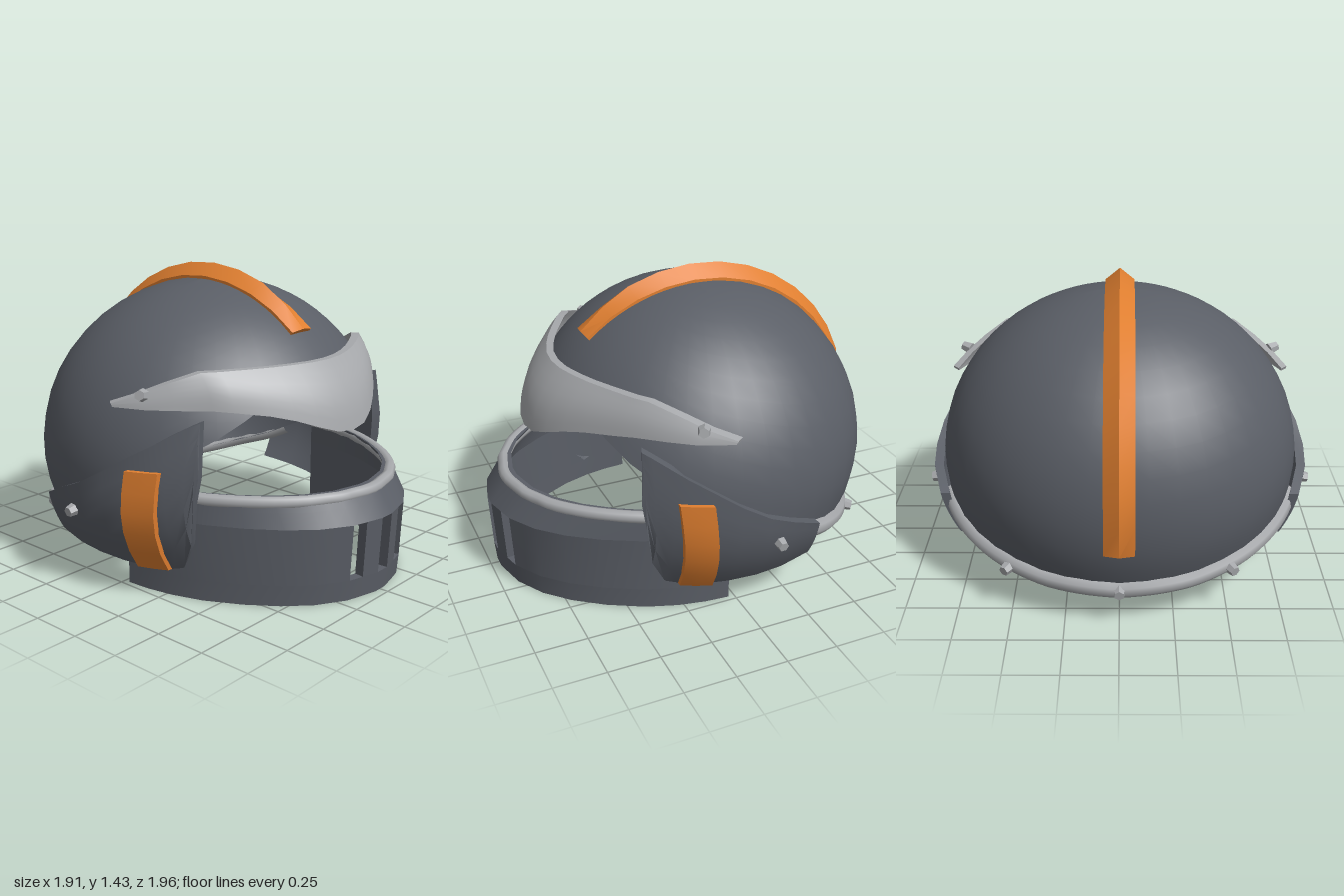
import * as THREE from 'three';
import { toCreasedNormals } from 'three/addons/utils/BufferGeometryUtils.js';

const mat = color => new THREE.MeshStandardMaterial({ color });
const DARK = mat(0x5a5e66), LIGHT = mat(0xa6a8ab), ORANGE = mat(0xe07f30);
const range = (a, b, n) => Array.from({ length: n + 1 }, (_, i) => a + (b - a) * i / n);

// Piecewise linear lookup in two matching lists
function lookup(xs, ys, x) {
  let i = 1;
  while (i < xs.length - 1 && x > xs[i]) i++;
  const t = THREE.MathUtils.clamp((x - xs[i - 1]) / (xs[i] - xs[i - 1]), 0, 1);
  return ys[i - 1] + (ys[i] - ys[i - 1]) * t;
}

// Solid plate: outer and inner skins over a u,v grid, joined along the edges
function slab(name, material, us, vs, outer, inner, closed = false, crease = 0.6) {
  const back = [...vs].reverse();
  const rings = us.map(u => [...vs.map(v => outer(u, v)), ...back.map(v => inner(u, v))]);
  const n = rings[0].length, pts = rings.flat(), idx = [];
  const quad = (a, b, c, d) => idx.push(a, b, c, a, c, d);
  const last = us.length - 1;
  for (let i = 0; i < (closed ? us.length : last); i++) {
    const k = (i + 1) % us.length;
    for (let j = 0; j < n; j++) {
      const m = (j + 1) % n;
      quad(i * n + j, k * n + j, k * n + m, i * n + m);
    }
  }
  if (!closed) for (let j = 0; j < n / 2 - 1; j++) {
    const o = last * n;
    quad(j, j + 1, n - 2 - j, n - 1 - j);
    quad(o + n - 1 - j, o + n - 2 - j, o + j + 1, o + j);
  }
  // Turn the faces outward when the enclosed volume is negative
  const V = pts.map(p => new THREE.Vector3(...p));
  let vol = 0;
  for (let i = 0; i < idx.length; i += 3)
    vol += V[idx[i]].dot(V[idx[i + 1]].clone().cross(V[idx[i + 2]]));
  if (vol < 0) idx.reverse();
  const g = new THREE.BufferGeometry().setFromPoints(V);
  g.setIndex(idx);
  const mesh = new THREE.Mesh(toCreasedNormals(g, crease), material);
  mesh.name = name;
  return mesh;
}

function tube(name, points, radius) {
  const curve = new THREE.CatmullRomCurve3(points.map(p => new THREE.Vector3(...p)));
  const mesh = new THREE.Mesh(new THREE.TubeGeometry(curve, 48, radius, 8), LIGHT);
  mesh.name = name;
  return mesh;
}

function bolt(name, pos, dir) {
  const g = new THREE.CylinderGeometry(0.024, 0.032, 0.05, 6);
  const mesh = new THREE.Mesh(toCreasedNormals(g, 0.5), LIGHT);
  mesh.position.set(...pos);
  mesh.quaternion.setFromUnitVectors(new THREE.Vector3(0, 1, 0), new THREE.Vector3(...dir).normalize());
  mesh.name = name;
  return mesh;
}

// Dome ellipsoid, and the height of its rim by angle from the front
const C = [0, 0.55, -0.1], R = [0.87, 0.81, 0.84];
const rimY = deg => lookup([0, 14, 28, 48, 70, 90, 110, 130, 155, 180],
  [0.98, 0.96, 0.9, 0.74, 0.58, 0.45, 0.32, 0.25, 0.19, 0.17], deg > 180 ? 360 - deg : deg);
function domePoint(deg, v, k = 1) {
  const low = Math.asin((rimY(deg) - C[1]) / R[1]);
  const e = Math.PI / 2 + (low - Math.PI / 2) * v, a = deg * Math.PI / 180;
  const r = Math.cos(e) * k;
  // the inner skin shares the height of the outer rim
  const y = C[1] + R[1] * Math.sin(e) * (k + (1 - k) * v ** 4);
  return [R[0] * r * Math.sin(a), y, C[2] + R[2] * r * Math.cos(a)];
}

// Chin guard wall: depth from half width, leaning back above the slots
const CX = [0, 0.2, 0.34, 0.45, 0.55, 0.64, 0.69, 0.715, 0.725];
const CZ = [0.985, 0.935, 0.85, 0.74, 0.6, 0.43, 0.28, 0.15, 0.03];
const chinOut = (x, y) => {
  const z = lookup(CX, CZ, Math.abs(x));
  return [x, y, 0.03 + (z - 0.03) * lookup([0, 0.1, 0.37, 0.51], [0.98, 0.99, 1.005, 0.9], y)];
};
const chinIn = (x, y) => {
  const [, , z] = chinOut(x, y);
  return [x * 0.94, y, z - 0.05 * z];
};

// Bulging side surface used by the cheek plates and their stripes
const cheekX = (y, z) => 0.93 - 0.7 * (z + 0.1) ** 2 - (y < 0.5 ? 1.0 : 0.4) * (y - 0.5) ** 2;
const KZ = [-0.36, -0.2, -0.07, 0.06, 0.19, 0.28, 0.34, 0.41, 0.445, 0.46];
const KLOW = [0.19, 0.17, 0.155, 0.14, 0.122, 0.11, 0.15, 0.28, 0.48, 0.6];
const KTOP = [0.4, 0.475, 0.53, 0.605, 0.69, 0.745, 0.785, 0.83, 0.85, 0.62];

// Visor edges by half width
const VX = [0, 0.1, 0.2, 0.3, 0.4, 0.53, 0.6, 0.7, 0.78, 0.84];
const VTY = [1.05, 1.05, 1.05, 1.05, 1.05, 1.05, 1.05, 1.0, 0.95, 0.905];
const VTZ = [0.63, 0.62, 0.59, 0.55, 0.5, 0.43, 0.38, 0.27, 0.17, 0.06];
const VBY = [0.74, 0.75, 0.785, 0.825, 0.855, 0.88, 0.89, 0.89, 0.89, 0.89];
const VBZ = [0.78, 0.77, 0.735, 0.68, 0.615, 0.52, 0.45, 0.33, 0.22, 0.07];
const visorPoint = (x, v, off) => {
  const a = Math.abs(x), f = list => lookup(VX, list, a);
  const bulge = Math.sin(v * Math.PI) * 0.1 * (f(VTY) - f(VBY));
  const dz = bulge - off;
  return [x - Math.sign(x) * off * a, f(VTY) + (f(VBY) - f(VTY)) * v + bulge * 0.3,
    f(VTZ) + (f(VBZ) - f(VTZ)) * v + dz];
};

export function createModel() {
  const model = new THREE.Group();
  model.name = 'helmet';

  // Shell and the rolled band along its back rim
  model.add(slab('dome', DARK, range(0, 351, 39), range(0, 1, 14),
    (a, v) => domePoint(a, v), (a, v) => domePoint(a, v, 0.95), true));
  model.add(tube('backRim', range(102, 258, 26).map(a => domePoint(a, 1)), 0.043));

  // Ridge over the top, triangular in section and tapered at both ends
  const ridge = (deg, x, h) => {
    const a = deg * Math.PI / 180;
    return [x, C[1] + (R[1] + h) * Math.sin(a), C[2] + (R[2] + h) * Math.cos(a)];
  };
  model.add(slab('crest', ORANGE, range(48, 191, 14), [-1, 0, 1],
    (a, s) => ridge(a, s * 0.07, s ? 0.012 : lookup([48, 70, 95, 160, 191], [0.025, 0.065, 0.072, 0.062, 0.025], a)),
    (a, s) => ridge(a, s * 0.07, -0.02), false, 0.4));

  // Visor
  const half = VX.slice(1);
  model.add(slab('visor', LIGHT, [...half.map(x => -x).reverse(), ...VX], range(0, 1, 6),
    (x, v) => visorPoint(x, v, 0), (x, v) => visorPoint(x, v, 0.035), false, 0.8));

  // Chin guard: lower and upper bands with posts between three open slots
  const chin = new THREE.Group();
  chin.name = 'chinGuard';
  const side = [0.2025, 0.27, ...CX.slice(2)];
  const full = [...side.map(x => -x).reverse(), -0.1275, -0.0375, 0.0375, 0.1275, ...side];
  const wall = (name, xs, ys) => chin.add(slab(name, DARK, xs, ys, chinOut, chinIn));
  wall('chinLowerBand', full, [0, 0.1]);
  wall('chinUpperBand', full, [0.37, 0.44, 0.5]);
  for (const s of [-1, 1]) {
    wall('chinSideWall', side.map(x => x * s), [0.1, 0.235, 0.37]);
    wall('chinSlotPost', [0.0375 * s, 0.1275 * s], [0.1, 0.235, 0.37]);
  }
  chin.add(tube('chinTrim', full.map(x => {
    const p = chinOut(x, 0.48);
    return [p[0] * 0.97, 0.478, p[2] * 0.98];
  }), 0.03));
  model.add(chin);

  // Cheek plates, stripes and bolts on both sides
  for (const s of [-1, 1]) {
    const label = s > 0 ? 'left' : 'right';
    const cheek = off => (z, v) => {
      const lo = lookup(KZ, KLOW, z), y = lo + (lookup(KZ, KTOP, z) - lo) * v;
      return [s * (cheekX(y, z) - off), y, z - off * 0.4 * (z > 0.3 ? 1 : 0)];
    };
    model.add(slab(label + 'CheekPlate', DARK, KZ, range(0, 1, 6), cheek(0), cheek(0.045)));
    const stripe = off => (u, y) => {
      const z = 0.13 + 0.09 * y + 0.138 * u;
      return [s * (cheekX(y, z) + off), y, z];
    };
    model.add(slab(label + 'CheekStripe', ORANGE, [0, 0.5, 1], range(0.13, 0.63, 5), stripe(0.022), stripe(-0.01)));
    model.add(bolt(label + 'CheekBolt', [s * 0.925, 0.38, -0.13], [s, -0.15, 0]));
    model.add(bolt(label + 'VisorBolt', [s * 0.785, 0.955, 0.2], [s, 0.25, 0.5]));
    const p = domePoint(180 - s * 38, 1);
    model.add(bolt(label + 'RimBolt', [p[0] * 1.06, p[1] - 0.01, p[2] * 1.05], [p[0], -0.15, p[2]]));
  }
  const b = domePoint(180, 1);
  model.add(bolt('backRimBolt', [0, b[1], b[2] - 0.035], [0, -0.15, -1]));
  return model;
}
